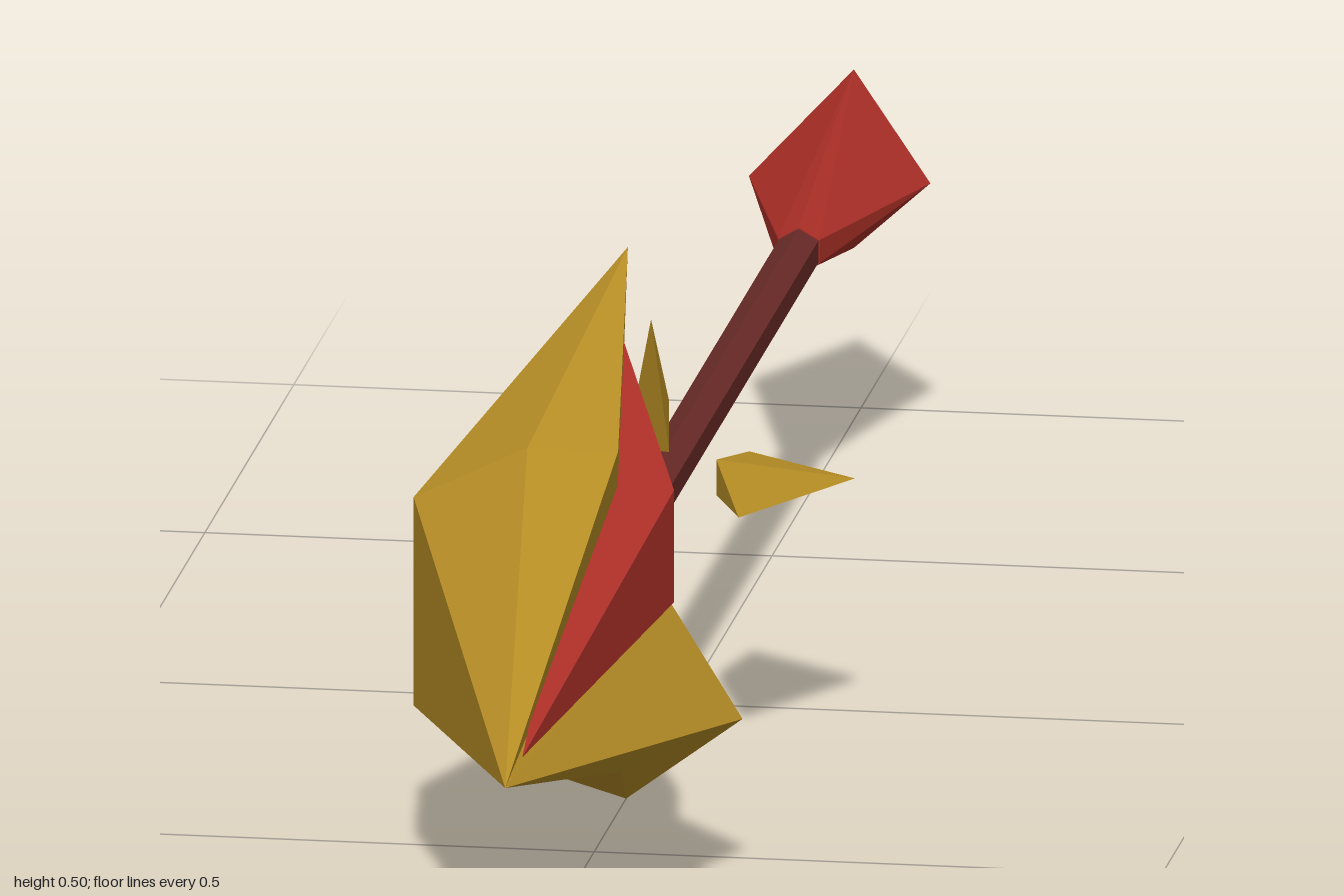
import * as THREE from 'three';
import { ConvexGeometry } from 'three/addons/geometries/ConvexGeometry.js';

const material = (name, color) => {
  const m = new THREE.MeshStandardMaterial({ color, flatShading: true });
  m.name = name;
  return m;
};

const AXIS_Y = 0.237; // height of the shaft

// Flat facets around a core point; each triangle is turned to face away from it
function facets(points, faces, core) {
  const positions = [];
  const n = new THREE.Vector3(), e = new THREE.Vector3();
  for (const face of faces) {
    let [a, b, c] = face.map((k) => new THREE.Vector3(...points[k]));
    n.subVectors(b, a).cross(e.subVectors(c, a));
    if (n.dot(e.subVectors(a, core)) < 0) [b, c] = [c, b];
    for (const p of [a, b, c]) positions.push(p.x, p.y, p.z);
  }
  const g = new THREE.BufferGeometry();
  g.setAttribute('position', new THREE.Float32BufferAttribute(positions, 3));
  g.computeVertexNormals();
  return g;
}

const hull = (points) => new ConvexGeometry(points.map((p) => new THREE.Vector3(...p)));

export function createModel() {
  const gold = material('gold', 0xb58c25);
  const red = material('red', 0xa82e26);
  const darkWood = material('dark red wood', 0x682a27);
  const model = new THREE.Group();
  model.name = 'arrow';
  const add = (name, geometry, mat) => {
    const mesh = new THREE.Mesh(geometry, mat);
    mesh.name = name;
    model.add(mesh);
    return mesh;
  };

  // Barbed head, with its upper left plate broken away
  const points = {
    tip: [0, 0.193, 1],
    topBarb: [0, 0.497, 0.31], lowBarb: [0, 0.002, 0.32],
    topL: [0.04, 0.397, 0.62], topR: [-0.04, 0.397, 0.62],
    lowL: [0.04, 0.103, 0.6], lowR: [-0.04, 0.103, 0.6],
    upR: [-0.145, 0.34, 0.59], downR: [-0.145, 0.152, 0.59], downL: [0.145, 0.152, 0.59],
    cut: [0.078, 0.252, 0.575], recess: [0.03, 0.32, 0.56],
    backTop: [0, 0.3, 0.475], backLow: [0, 0.165, 0.49],
    backUpR: [-0.04, 0.285, 0.5], backDownR: [-0.04, 0.195, 0.5], backL: [0.04, 0.2, 0.5],
  };
  const faces = [
    // Narrow ridges above and below
    ['tip', 'topL', 'topR'], ['topBarb', 'topL', 'topR'],
    ['tip', 'lowL', 'lowR'], ['lowBarb', 'lowL', 'lowR'],
    // Whole side
    ['tip', 'topR', 'upR'], ['topBarb', 'topR', 'upR'], ['tip', 'upR', 'downR'],
    ['tip', 'downR', 'lowR'], ['lowBarb', 'downR', 'lowR'],
    // Broken side
    ['tip', 'downL', 'lowL'], ['lowBarb', 'downL', 'lowL'], ['tip', 'cut', 'downL'],
    ['tip', 'topL', 'recess'], ['topL', 'topBarb', 'recess'], ['topBarb', 'backTop', 'recess'],
    ['tip', 'recess', 'cut'], ['cut', 'recess', 'backL'], ['recess', 'backTop', 'backL'],
    ['cut', 'downL', 'backL'],
    // Hollow back
    ['topBarb', 'upR', 'backUpR'], ['topBarb', 'backUpR', 'backTop'],
    ['upR', 'downR', 'backDownR'], ['upR', 'backDownR', 'backUpR'],
    ['downR', 'lowBarb', 'backDownR'], ['backDownR', 'lowBarb', 'backLow'],
    ['downL', 'lowBarb', 'backL'], ['backL', 'lowBarb', 'backLow'],
    ['backTop', 'backUpR', 'backL'], ['backUpR', 'backDownR', 'backL'],
    ['backDownR', 'backLow', 'backL'],
  ];
  add('arrowHead', facets(points, faces, new THREE.Vector3(0, 0.24, 0.6)), gold);

  // Core showing through the broken side
  add('headCore', hull([
    [0.008, 0.209, 0.955], [0, 0.453, 0.38], [0.083, 0.353, 0.58], [0.083, 0.252, 0.58],
    [0.02, 0.355, 0.545], [0.03, 0.255, 0.545], [0, 0.28, 0.6],
  ]), red);

  // Six-sided shaft and the collar where it enters the head
  const rod = (name, radius, z0, z1) => {
    const g = new THREE.CylinderGeometry(radius, radius, z1 - z0, 6);
    g.rotateX(Math.PI / 2).translate(0, AXIS_Y, (z0 + z1) / 2);
    add(name, g, darkWood);
  };
  rod('shaft', 0.02, -0.68, 0.53);
  rod('collar', 0.032, 0.485, 0.53);

  // Faceted tail
  const tail = [[0, 0.318, -0.96], [0, 0.157, -0.96], [0.08, 0.24, -0.88], [-0.08, 0.24, -0.88], [0, 0.24, -1]];
  for (let i = 0; i < 6; i++) {
    const a = (i * Math.PI) / 3;
    tail.push([Math.sin(a) * 0.021, AXIS_Y + Math.cos(a) * 0.021, -0.65]);
  }
  add('tail', hull(tail), red);

  // Shards floating around the shaft, each given as [distance from axis, z] corners
  const shards = [
    { name: 'leftShard', angle: 0, front: [0.085, 0.23], outer: [0.165, 0.085], back: [0.06, 0.01], inner: [0.045, 0.1] },
    { name: 'topShard', angle: Math.PI / 2, front: [0.083, 0.32], outer: [0.162, 0.18], back: [0.063, 0.08], inner: [0.043, 0.18] },
    { name: 'rightShard', angle: Math.PI, front: [0.08, 0.31], outer: [0.165, 0.17], back: [0.06, 0.07], inner: [0.04, 0.17] },
    { name: 'lowShard', angle: -Math.PI / 2, front: [0.083, 0.4], outer: [0.122, 0.28], back: [0.045, 0.16], inner: [0.06, 0.28] },
  ];
  for (const { name, angle, front, outer, back, inner } of shards) {
    const g = hull([
      [front[0], 0, front[1]], [outer[0], 0, outer[1]], [back[0], 0, back[1]],
      [inner[0], 0.016, inner[1]], [inner[0], -0.016, inner[1]],
    ]);
    g.rotateZ(angle).translate(0, AXIS_Y - 0.002, 0);
    add(name, g, gold);
  }
  return model;
}
